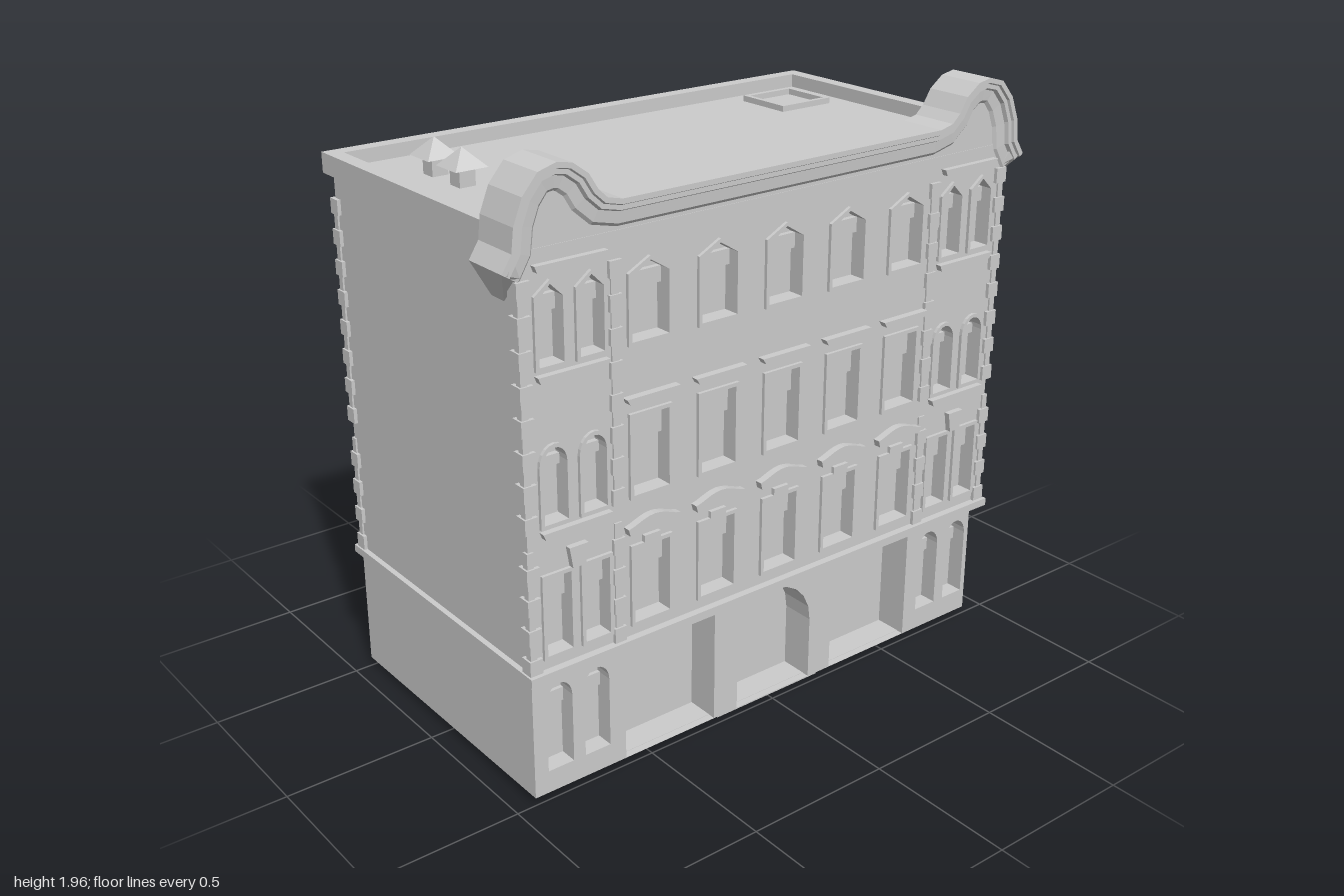
import * as THREE from 'three';
import { ConvexGeometry } from 'three/addons/geometries/ConvexGeometry.js';

const mat = new THREE.MeshStandardMaterial({ color: 0xcccccc, flatShading: true, side: THREE.DoubleSide });

function add(parent, name, geo) {
  const m = new THREE.Mesh(geo, mat);
  m.name = name;
  parent.add(m);
  return m;
}
// Box given by its minimum and maximum on each axis
function box(parent, name, x0, x1, y0, y1, z0, z1) {
  const m = add(parent, name, new THREE.BoxGeometry(x1 - x0, y1 - y0, z1 - z0));
  m.position.set((x0 + x1) / 2, (y0 + y1) / 2, (z0 + z1) / 2);
  return m;
}
const toShape = (pts) => new THREE.Shape(pts.map(([x, y]) => new THREE.Vector2(x, y)));
function slab(parent, name, pts, z0, z1, holes = []) {
  const s = toShape(pts);
  s.holes = holes.map(toShape);
  const g = new THREE.ExtrudeGeometry(s, { depth: z1 - z0, bevelEnabled: false });
  g.translate(0, 0, z0);
  return add(parent, name, g);
}
const rect = (x0, x1, y0, y1) => [[x0, y0], [x1, y0], [x1, y1], [x0, y1]];

// Opening outline: rectangle, pointed head or round head, shrunk by inset
function opening({ x, w, y0, y1, head }, inset = 0) {
  const h = w / 2 - inset, b = y0 + inset, t = y1 - inset;
  if (head === 'point') return [[x - h, b], [x + h, b], [x + h, t - 0.04], [x, t], [x - h, t - 0.04]];
  if (head === 'round') {
    const pts = [[x - h, b], [x + h, b]], rise = Math.min(h * 1.25, h + 0.012);
    for (let i = 0; i <= 10; i++) {
      const a = Math.PI * i / 10;
      pts.push([x + h * Math.cos(a), t - rise + rise * Math.sin(a)]);
    }
    return pts;
  }
  return rect(x - h, x + h, b, t);
}

// Openings of the three upper floors
const bays = [-0.505, -0.254, 0, 0.254, 0.505];
const ends = [-0.84, -0.705, 0.705, 0.84];
const windows = [];
for (const x of bays) {
  windows.push({ x, w: 0.154, y0: 1.385, y1: 1.64, bar: 1.54, head: 'point' });
  windows.push({ x, w: 0.154, y0: 0.91, y1: 1.18, bar: 1.08 });
  windows.push({ x, w: 0.154, y0: 0.49, y1: 0.76, bar: 0.665 });
}
for (const x of ends) {
  windows.push({ x, w: 0.105, y0: 1.385, y1: 1.64, bar: 1.54, head: 'point' });
  windows.push({ x, w: 0.105, y0: 0.91, y1: 1.165, bar: 1.08, head: 'round' });
  windows.push({ x, w: 0.112, y0: 0.49, y1: 0.765, bar: 0.665 });
}

// One decorated upper facade, facing +z
function facade() {
  const g = new THREE.Group();
  const F = 0.505;
  slab(g, 'upperWall', rect(-0.935, 0.935, 0.45, 1.73), 0.46, F, windows.map((w) => opening(w, 0.012)));
  for (const w of windows) {
    slab(g, 'windowFrame', opening(w), F - 0.005, 0.516, [opening(w, 0.012)]);
    const h = w.w / 2 - 0.012;
    box(g, 'upperSash', w.x - h, w.x + h, w.bar, w.y1 - 0.012 - (w.head ? 0.04 : 0), 0.455, 0.477);
  }
  for (const x of bays) {
    // Flat hood on the middle floor, curved hood and keystone on the lower one
    slab(g, 'flatHood', [[x - 0.085, 1.217], [x + 0.085, 1.217], [x + 0.096, 1.235], [x - 0.096, 1.235]], 0.5, 0.53);
    const top = [], under = [];
    for (let i = 0; i <= 10; i++) {
      const u = i / 5 - 1, y = 0.826 + 0.026 * Math.pow(Math.cos(u * Math.PI / 2), 1.4);
      top.push([x + u * 0.096, y]);
      under.unshift([x + u * 0.09, y - 0.023]);
    }
    slab(g, 'curvedHood', top.concat(under), 0.5, 0.53);
    box(g, 'headBlock', x - 0.03, x + 0.03, 0.758, 0.782, 0.5, 0.518);
  }
  for (const s of [-1, 1]) {
    const x = s * 0.773;
    slab(g, 'topHood', [[x - 0.112, 1.668], [x + 0.112, 1.668], [x + 0.12, 1.688], [x - 0.12, 1.688]], 0.5, 0.525);
    for (const y of [1.353, 0.882]) {
      slab(g, 'sill', [[x - 0.112, y], [x + 0.112, y], [x + 0.12, y + 0.02], [x - 0.12, y + 0.02]], 0.5, 0.526);
    }
    slab(g, 'keystone', [[x - 0.022, 0.765], [x + 0.022, 0.765], [x + 0.033, 0.832], [x - 0.033, 0.832]], 0.5, 0.525);
    // Alternating quoins at the corner and beside the end bay
    for (const [y0, y1, n] of [[0.455, 0.85, 8], [0.91, 1.65, 15]]) {
      const step = (y1 - y0) / n;
      for (let i = 0; i < n; i++) {
        const wide = i % 2 === 0, a = y0 + i * step, b = a + step;
        const cw = wide ? 0.044 : 0.022, out = wide ? 0.012 : 0.006, pw = wide ? 0.021 : 0.013;
        const cx = s * (0.935 + out - cw / 2);
        box(g, 'cornerQuoin', cx - cw / 2, cx + cw / 2, a, b, F + out - cw, F + out);
        box(g, 'innerQuoin', s * 0.624 - pw, s * 0.624 + pw, a, b, 0.5, F + out);
      }
    }
  }
  return g;
}

// Street floor: open-bottomed shell with recessed windows, bays and arch
function groundFloor() {
  const g = new THREE.Group();
  g.name = 'groundFloor';
  const X0 = -0.935, X1 = 0.905, B = 0.025, T = 0.435;
  const lights = ends.map((x) => ({ x, w: 0.092, y0: 0.1, y1: 0.39, head: 'round' }));
  const doors = [
    { x: -0.425, w: 0.35, y0: B + 0.001, y1: 0.405 },
    { x: 0.425, w: 0.35, y0: B + 0.001, y1: 0.405 },
    { x: 0, w: 0.31, y0: B + 0.001, y1: 0.41, head: 'round' },
  ];
  const all = [...lights, ...doors];
  slab(g, 'streetWall', rect(X0, X1, B, T), 0.48, 0.5, all.map((o) => opening(o)));
  for (const o of all) {
    const back = o.y0 > 0.05 ? 0.44 : 0.385;
    slab(g, 'reveal', opening(o, -0.006), back, 0.49, [opening(o)]);
    slab(g, 'recessPanel', opening(o, -0.006), back - 0.008, back);
  }
  for (const o of lights) box(g, 'upperSash', o.x - 0.045, o.x + 0.045, 0.29, 0.335, 0.436, 0.452);
  box(g, 'sideWall', X0, X0 + 0.012, B, T, -0.51, 0.5);
  box(g, 'sideWall', X1 - 0.012, X1, B, T, -0.51, 0.5);
  box(g, 'rearWall', X0, X1, B, T, -0.51, -0.498);
  // Thresholds
  for (const s of [-1, 1]) {
    box(g, 'threshold', s * 0.425 - 0.175, s * 0.425 + 0.175, 0.005, B + 0.002, 0.37, 0.475);
    box(g, 'endPlinth', s * 0.773 - 0.115, s * 0.773 + 0.115, 0.005, B, 0.465, 0.475);
  }
  box(g, 'archThreshold', -0.215, 0.215, 0, B + 0.002, 0.37, 0.475);
  return g;
}

// Curved double gable with stepped moulding
function gable() {
  const g = new THREE.Group();
  g.name = 'gable';
  const half = [[1, 1.69], [0.968, 1.74], [0.96, 1.81], [0.93, 1.885], [0.88, 1.943], [0.82, 1.96],
    [0.77, 1.95], [0.72, 1.913], [0.69, 1.865], [0.66, 1.837], [0.61, 1.825]];
  const line = half.concat(half.slice().reverse().map(([x, y]) => [-x, y]));
  slab(g, 'gableBlock', line.concat([[-0.935, 1.69], [0.935, 1.69]]), 0.375, 0.503);
  // Moulding: cross-section of inward offset and z, carried along the outline
  const section = [[0, 0.5], [0, 0.535], [0.016, 0.535], [0.02, 0.527], [0.034, 0.527], [0.04, 0.515], [0.075, 0.512], [0.088, 0.5]];
  const pos = [], idx = [], n = section.length;
  line.forEach(([x, y], i) => {
    const a = line[Math.max(i - 1, 0)], b = line[Math.min(i + 1, line.length - 1)];
    const tx = b[0] - a[0], ty = b[1] - a[1], l = Math.hypot(tx, ty);
    section.forEach(([d, z], j) => {
      pos.push(x - d * ty / l, y + d * tx / l, z);
      if (i && j) {
        const q = i * n + j;
        idx.push(q - n - 1, q - n, q, q - n - 1, q, q - 1);
      }
    });
  });
  const geo = new THREE.BufferGeometry();
  geo.setAttribute('position', new THREE.Float32BufferAttribute(pos, 3));
  geo.setIndex(idx);
  geo.computeVertexNormals();
  add(g, 'gableMoulding', geo);
  // Tapered brackets under the outer ends
  for (const s of [-1, 1]) {
    const pts = [[1, 1.69, 0.375], [1, 1.69, 0.535], [0.93, 1.57, 0.375], [0.93, 1.57, 0.43],
      [0.93, 1.7, 0.375], [0.93, 1.66, 0.512], [0.968, 1.74, 0.375], [0.968, 1.74, 0.53]];
    add(g, 'endBracket', new ConvexGeometry(pts.map(([x, y, z]) => new THREE.Vector3(s * x, y, z))));
  }
  return g;
}

function roof() {
  const g = new THREE.Group();
  g.name = 'roof';
  const ring = (name, o, i, y0, y1) => {
    const m = slab(g, name, rect(...o), y0, y1, [rect(...i)]);
    m.geometry.rotateX(-Math.PI / 2);
  };
  // Rings are drawn in x and -z, then laid flat
  ring('parapet', [-0.955, 0.955, -0.375, 0.535], [-0.905, 0.905, -0.33, 0.485], 1.725, 1.79);
  box(g, 'roofDeck', -0.91, 0.91, 1.72, 1.745, -0.49, 0.375);
  ring('roofHatch', [0.615, 0.83, 0.205, 0.415], [0.632, 0.813, 0.222, 0.398], 1.74, 1.765);
  for (const z of [-0.245, -0.09]) {
    box(g, 'ventNeck', -0.757, -0.703, 1.74, 1.805, z - 0.027, z + 0.027);
    const cap = add(g, 'ventCap', new THREE.ConeGeometry(0.055 * Math.SQRT2, 0.058, 4).rotateY(Math.PI / 4));
    cap.position.set(-0.73, 1.831, z);
  }
  return g;
}

export function createModel() {
  const model = new THREE.Group();
  model.name = 'building';
  model.add(groundFloor());
  box(model, 'upperCore', -0.935, 0.935, 0.45, 1.725, -0.46, 0.46);
  box(model, 'stringCourse', -0.953, 0.953, 0.43, 0.456, -0.53, 0.53);
  const front = facade(), rear = facade();
  front.name = 'frontFacade';
  rear.name = 'rearFacade';
  rear.rotation.y = Math.PI;
  model.add(front, rear, gable(), roof());
  return model;
}
